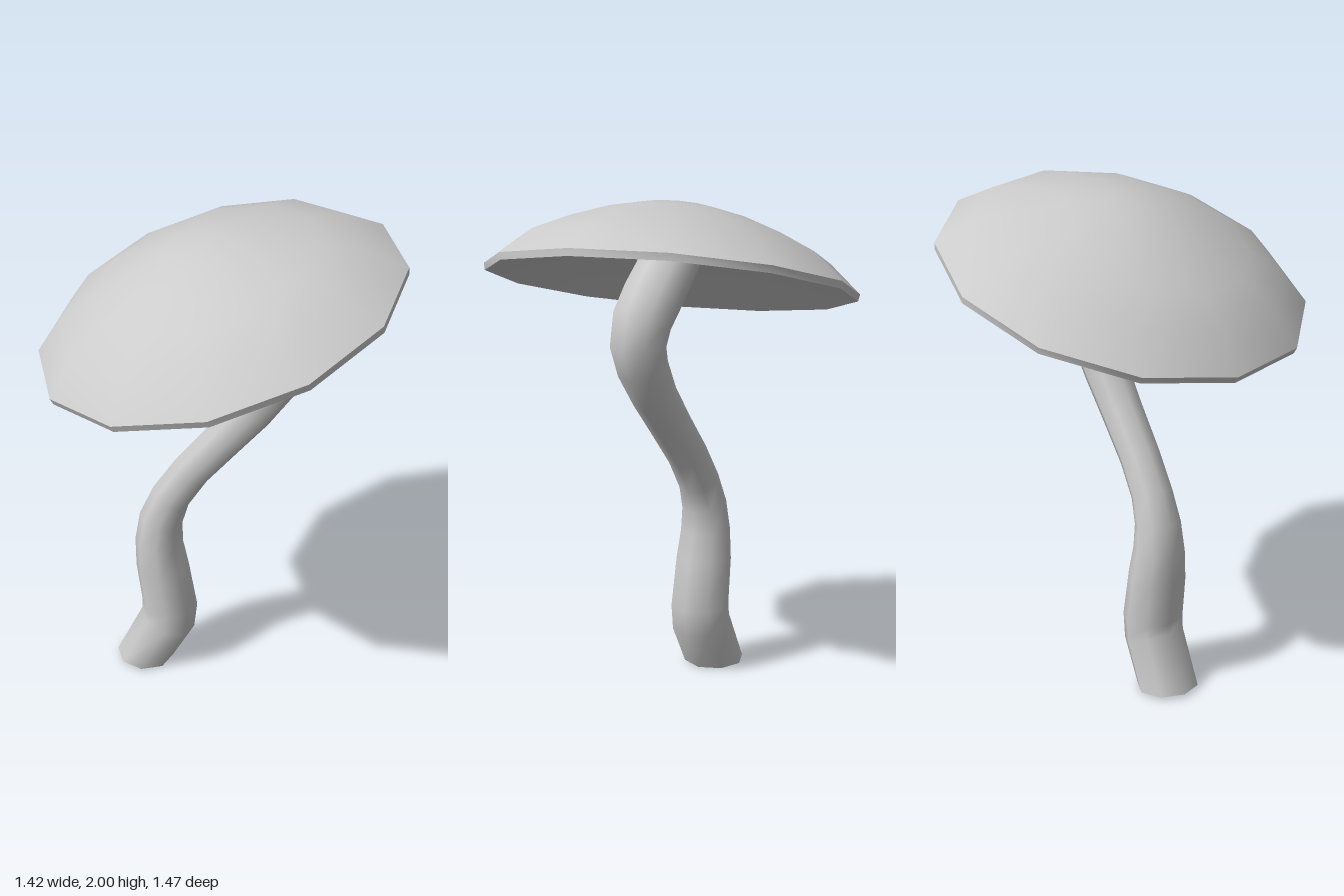
import * as THREE from 'three';
import { toCreasedNormals } from 'three/addons/utils/BufferGeometryUtils.js';

const grey = () => new THREE.MeshStandardMaterial({ color: 0xcccccc });

// Bent stem: each ring is [x, y, radius, tilt of the ring about z]
function createStem() {
  const rings = [
    [-0.32, 0.012, 0.128, -0.06],
    [-0.22, 0.205, 0.126, -0.34],
    [-0.212, 0.285, 0.125, -0.02],
    [-0.24, 0.48, 0.119, 0.12],
    [-0.252, 0.6, 0.107, 0.02],
    [-0.242, 0.71, 0.096, -0.2],
    [-0.2, 0.82, 0.087, -0.48],
    [-0.115, 0.95, 0.085, -0.66],
    [0.01, 1.1, 0.088, -0.7],
    [0.12, 1.235, 0.094, -0.62],
    [0.2, 1.36, 0.105, -0.42],
    [0.232, 1.45, 0.114, 0.05],
    [0.205, 1.55, 0.121, 0.5],
    [0.135, 1.63, 0.123, 0.76],
    [0.04, 1.725, 0.12, 0.78],
    [-0.06, 1.83, 0.115, 0.78],
  ];
  const last = rings.length - 1;
  const geo = new THREE.CylinderGeometry(1, 1, last, 8, last);
  const p = geo.attributes.position;
  for (let i = 0; i < p.count; i++) {
    const [x, y, r, tilt] = rings[Math.round(p.getY(i) + last / 2)];
    const across = p.getX(i) * r * 0.93;
    p.setXYZ(i, x + across * Math.cos(tilt), y + across * Math.sin(tilt), p.getZ(i) * r);
  }
  const mesh = new THREE.Mesh(toCreasedNormals(geo, 1), grey());
  mesh.name = 'stem';
  return mesh;
}

// Shallow twelve-sided cap: hollow underside, thin rim, domed top
function createCap() {
  const profile = [
    [0, 0.12], [0.2, 0.108], [0.42, 0.067], [0.6, 0.015], [0.734, -0.028],
    [0.74, 0], [0.615, 0.11], [0.46, 0.184], [0.3, 0.245], [0.15, 0.284], [0, 0.297],
  ].map(([r, y]) => new THREE.Vector2(r, y));
  const geo = new THREE.LatheGeometry(profile, 12, 0.045);
  const mesh = new THREE.Mesh(toCreasedNormals(geo, 0.7), grey());
  mesh.name = 'cap';
  mesh.position.y = 1.685;
  // Lean the cap to one side and slightly forwards
  const axis = new THREE.Vector3(-0.293, 1, 0.089).normalize();
  mesh.quaternion.setFromUnitVectors(new THREE.Vector3(0, 1, 0), axis);
  return mesh;
}

export function createModel() {
  const group = new THREE.Group();
  group.name = 'mushroom';
  group.add(createStem(), createCap());
  return group;
}
